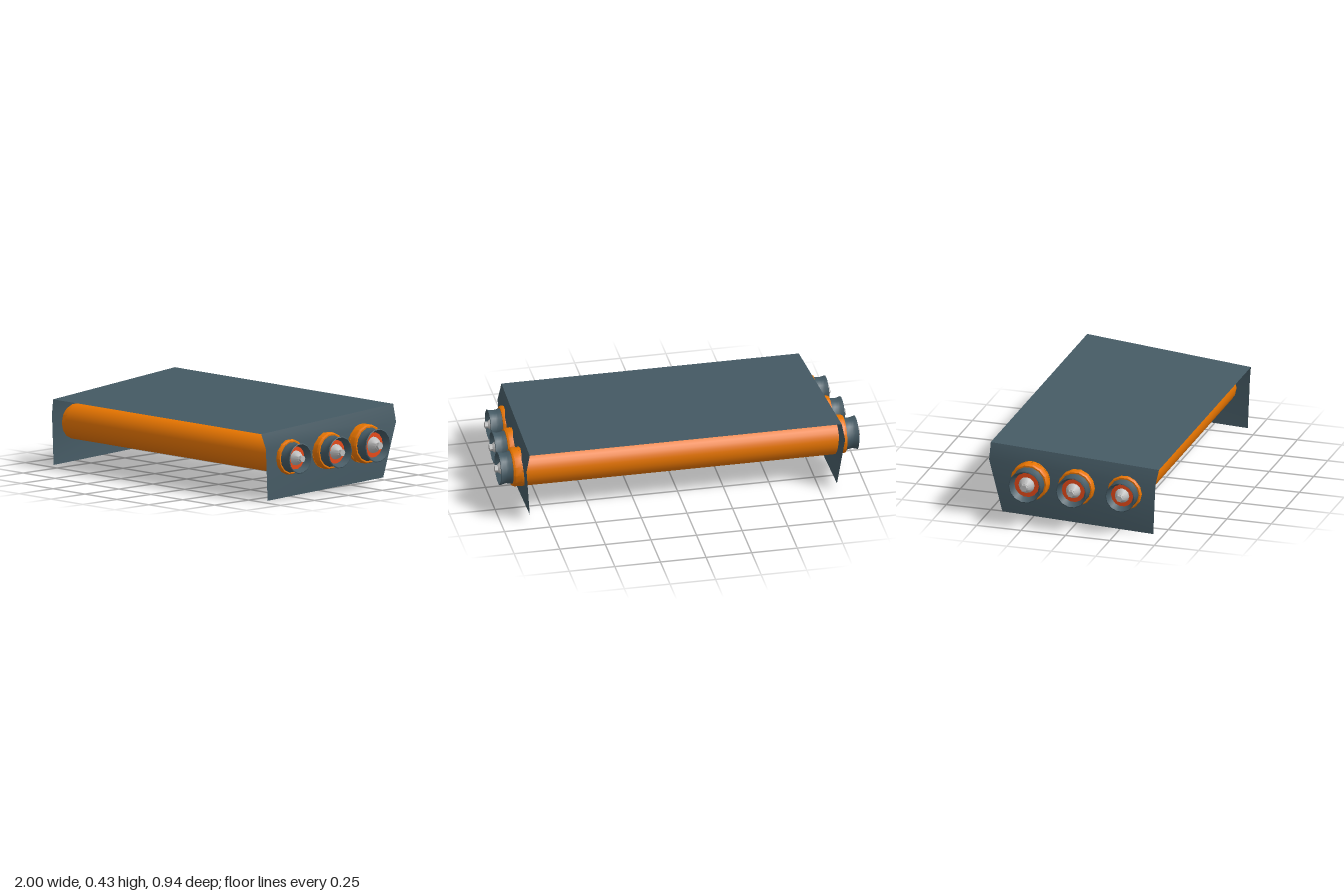
import * as THREE from 'three';
import { toCreasedNormals } from 'three/addons/utils/BufferGeometryUtils.js';

const slate = new THREE.MeshStandardMaterial({ color: 0x455a64, side: THREE.DoubleSide });
slate.name = 'slate';
const orange = new THREE.MeshStandardMaterial({ color: 0xf57c00 });
orange.name = 'orange';
const red = new THREE.MeshStandardMaterial({ color: 0xe64a19 });
red.name = 'redOrange';
const steel = new THREE.MeshStandardMaterial({ color: 0xbdbdbd });
steel.name = 'steel';

function add(parent, name, geometry, material) {
  const mesh = new THREE.Mesh(geometry, material);
  mesh.name = name;
  parent.add(mesh);
  return mesh;
}

// Turned part whose axis runs along +x; points are [radius, offset]
function turned(points, segments) {
  const geo = new THREE.LatheGeometry(points.map(([r, d]) => new THREE.Vector2(r, d)), segments);
  geo.rotateZ(-Math.PI / 2);
  return toCreasedNormals(geo, 0.6);
}

// Folded sheet: top, bevelled shoulders and side walls, open front and back
function coverGeometry() {
  const front = [[0.815, 0.362, 0.468], [0.838, 0.28, 0.455], [0.838, 0.0, 0.443]];
  const back = [[0.855, 0.43, -0.466], [0.873, 0.335, -0.47], [0.842, 0.035, -0.405]];
  const section = (half) => [
    ...half.slice().reverse().map(([x, y, z]) => [-x, y, z]),
    ...half,
  ];
  const positions = [...section(front), ...section(back)].flat();
  const index = [];
  for (let i = 0; i < 5; i++) {
    const a = i, b = i + 1, c = i + 7, d = i + 6;
    index.push(a, b, c, a, c, d);
  }
  const geo = new THREE.BufferGeometry();
  geo.setAttribute('position', new THREE.Float32BufferAttribute(positions, 3));
  geo.setIndex(index);
  return toCreasedNormals(geo.toNonIndexed(), 0.6);
}

// End assembly: flange, flared cup, recessed disc and axle
function rollerEnd(scale) {
  const end = new THREE.Group();
  const sized = (pts) => pts.map(([r, d]) => [r * scale, d]);
  add(end, 'flange', turned(sized([[0.106, -0.05], [0.106, -0.01], [0.1, 0], [0.08, 0]]), 14), orange);
  add(end, 'cup', turned(sized([
    [0.092, -0.002], [0.086, 0.02], [0.084, 0.035], [0.087, 0.05], [0.092, 0.066],
    [0.087, 0.068], [0.069, 0.03],
  ]), 14), slate);
  add(end, 'disc', turned(sized([[0.07, 0.03], [0.0, 0.031]]), 14), red);
  add(end, 'hub', turned(sized([[0.045, 0.03], [0.04, 0.045], [0.02, 0.07], [0, 0.07]]), 12), steel);
  const bolt = new THREE.CylinderGeometry(0.02 * scale, 0.02 * scale, 0.022, 6);
  bolt.rotateZ(-Math.PI / 2);
  add(end, 'axleBolt', toCreasedNormals(bolt, 0.6), steel).position.x = 0.075;
  return end;
}

export function createModel() {
  const model = new THREE.Group();
  model.name = 'rollerUnit';
  add(model, 'cover', coverGeometry(), slate);

  // Three rollers, growing in size and length towards the back
  const rollers = [
    { name: 'frontRoller', y: 0.222, z: 0.284, r: 0.096, reach: 0.86 },
    { name: 'middleRoller', y: 0.23, z: 0.019, r: 0.1, reach: 0.89 },
    { name: 'backRoller', y: 0.242, z: -0.236, r: 0.106, reach: 0.914 },
  ];
  for (const { name, y, z, r, reach } of rollers) {
    const roller = new THREE.Group();
    roller.name = name;
    roller.position.set(0, y, z);
    const drum = new THREE.CylinderGeometry(r, r, 2 * (reach - 0.045), 32);
    drum.rotateZ(Math.PI / 2);
    add(roller, 'drum', drum, orange);
    for (const side of [1, -1]) {
      const end = rollerEnd(r / 0.106);
      end.name = side > 0 ? 'leftEnd' : 'rightEnd';
      end.position.x = side * reach;
      if (side < 0) end.rotation.y = Math.PI;
      roller.add(end);
    }
    model.add(roller);
  }
  return model;
}
